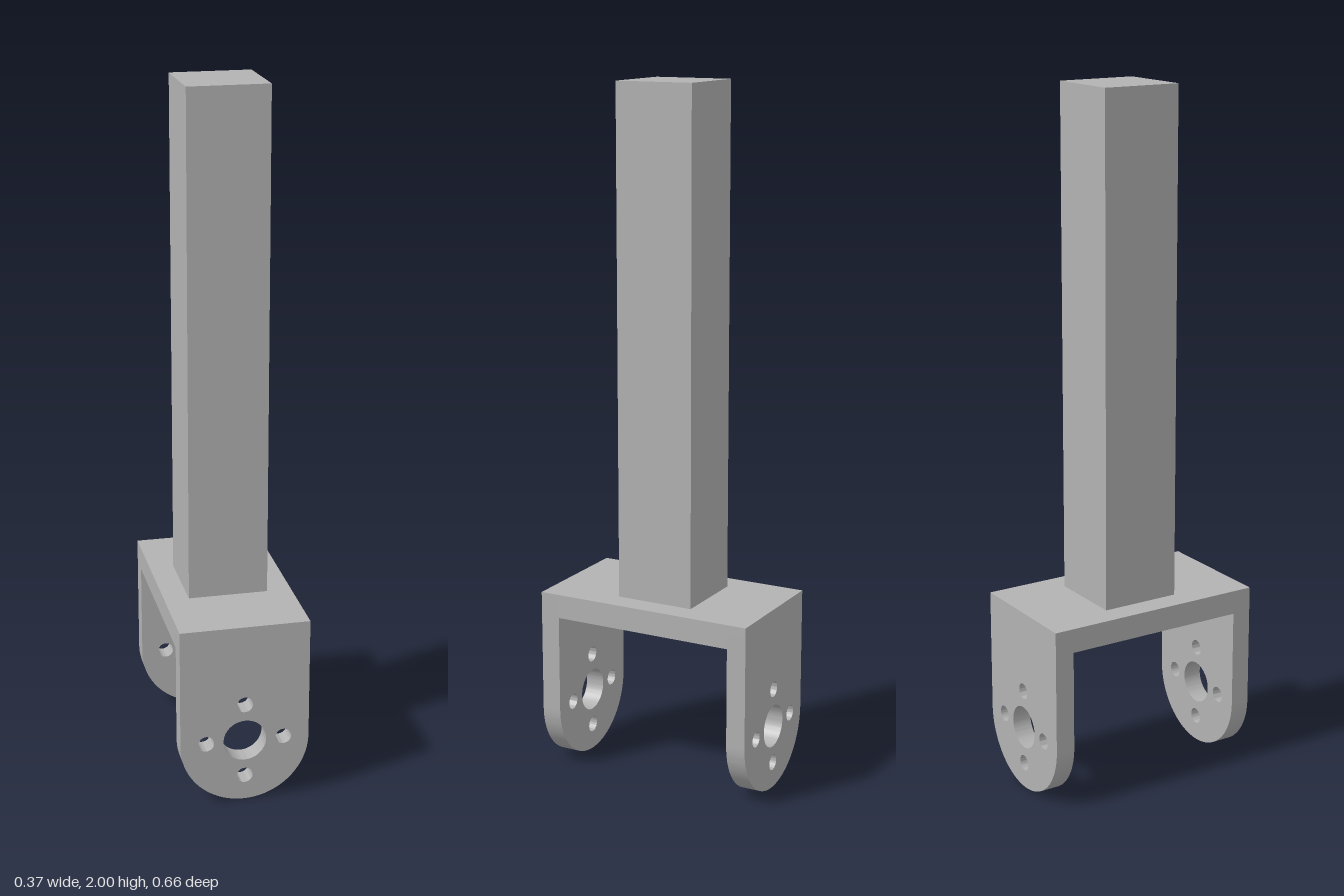
import * as THREE from 'three';
import { toCreasedNormals } from 'three/addons/utils/BufferGeometryUtils.js';

const HALF_WIDTH = 0.186, HALF_DEPTH = 0.329;
const ARM = 0.057;                     // arm thickness
const YOKE_TOP = 0.541, BRIDGE_BOTTOM = 0.471;
const AXLE_Y = 0.188, BOLT_CIRCLE = 0.112;

// Arm plate: square top, round bottom, axle hole and four bolt holes
function armGeometry() {
  const shape = new THREE.Shape();
  shape.moveTo(HALF_WIDTH, YOKE_TOP);
  shape.lineTo(-HALF_WIDTH, YOKE_TOP);
  shape.lineTo(-HALF_WIDTH, HALF_WIDTH);
  shape.absarc(0, HALF_WIDTH, HALF_WIDTH, Math.PI, Math.PI * 2, false);
  shape.closePath();

  const addHole = (x, y, r) => {
    const hole = new THREE.Path();
    hole.absarc(x, y, r, 0, Math.PI * 2, true);
    shape.holes.push(hole);
  };
  addHole(0, AXLE_Y, 0.062);
  for (let i = 0; i < 4; i++) {
    const a = i * Math.PI / 2;
    addHole(Math.cos(a) * BOLT_CIRCLE, AXLE_Y + Math.sin(a) * BOLT_CIRCLE, 0.023);
  }
  const geometry = new THREE.ExtrudeGeometry(shape, { depth: ARM, bevelEnabled: false, curveSegments: 32 });
  return toCreasedNormals(geometry, 0.6);
}

export function createModel() {
  const group = new THREE.Group();
  group.name = 'forkBracket';
  const metal = new THREE.MeshStandardMaterial({ color: 0xb2b2b2 });
  metal.name = 'grey metal';

  const add = (name, geometry, x, y, z) => {
    const mesh = new THREE.Mesh(geometry, metal);
    mesh.name = name;
    mesh.position.set(x, y, z);
    group.add(mesh);
  };

  // Square post, set slightly back on the yoke
  add('post', new THREE.BoxGeometry(0.23, 2 - YOKE_TOP, 0.232), 0, (2 + YOKE_TOP) / 2, -0.005);

  // Bridge joining the two arms
  add('bridge', new THREE.BoxGeometry(HALF_WIDTH * 2, YOKE_TOP - BRIDGE_BOTTOM, (HALF_DEPTH - ARM) * 2),
    0, (YOKE_TOP + BRIDGE_BOTTOM) / 2, 0);

  // Front and back arms
  const arm = armGeometry();
  add('frontArm', arm, 0, 0, HALF_DEPTH - ARM);
  add('backArm', arm, 0, 0, -HALF_DEPTH);

  return group;
}
